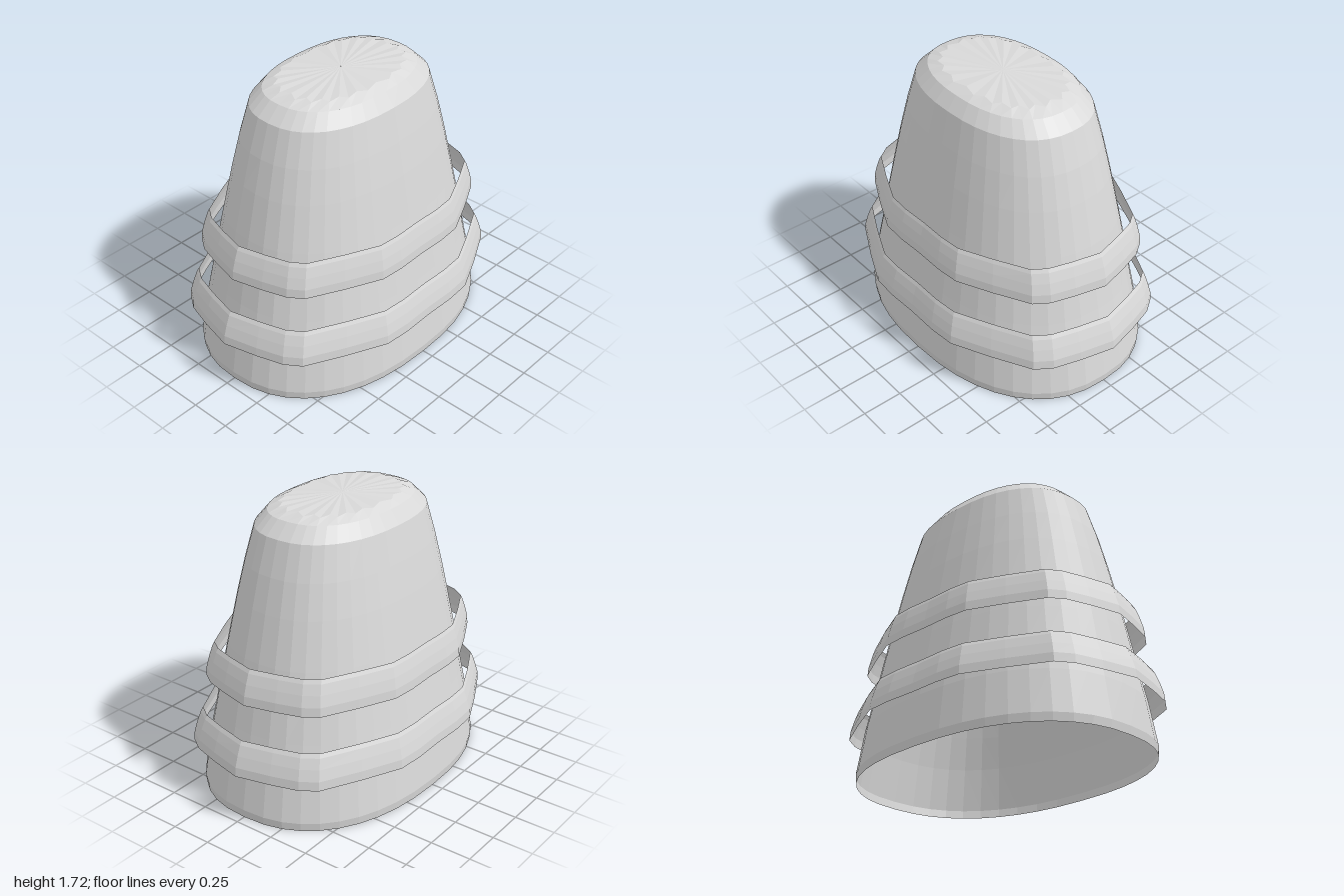
import * as THREE from 'three';

const grey = new THREE.MeshStandardMaterial({ color: 0xd9d9d9, flatShading: true, side: THREE.DoubleSide });
grey.name = 'light grey';

// Joins closed loops of points, listed from bottom to top, into an open skin
function loft(loops) {
  const n = loops[0].length;
  const index = [];
  for (let i = 0; i < loops.length - 1; i++) {
    for (let j = 0; j < n; j++) {
      const a = i * n + j, b = i * n + (j + 1) % n;
      index.push(a, a + n, b, b, a + n, b + n);
    }
  }
  const geometry = new THREE.BufferGeometry();
  geometry.setAttribute('position', new THREE.Float32BufferAttribute(loops.flat(2), 3));
  geometry.setIndex(index);
  const flat = geometry.toNonIndexed();
  flat.computeVertexNormals();
  return flat;
}

// Rounded oval loop; ripple lowers and spreads every other point into a star
function oval([y, rx, rz, ripple = 0], sides = 40, power = 2.35) {
  const bend = (v) => Math.sign(v) * Math.abs(v) ** (2 / power);
  return Array.from({ length: sides }, (_, j) => {
    const t = (j / sides) * Math.PI * 2;
    const drop = j % 2 ? ripple : 0;
    const k = 1 + drop * 15;
    return [rx * k * bend(Math.cos(t)), y - drop, rz * k * bend(Math.sin(t))];
  });
}

// One quarter of the faceted band outline, mirrored into a full loop
const quarter = [[1, 0], [0.95, 0.21], [0.9, 0.375], [0.835, 0.47], [0.6, 0.592], [0.365, 0.7], [0.2, 0.713], [0, 0.708]];
const mirrorX = ([x, z]) => [-x, z];
const half = [...quarter, ...quarter.slice(0, -1).reverse().map(mirrorX)];
const outline = [...half, ...half.slice(1, -1).reverse().map(([x, z]) => [x, -z])];

export function createModel() {
  const model = new THREE.Group();
  model.name = 'bandedCover';

  // Tapered hollow shell, open below, with a star-pleated cap
  const profile = [
    [0, 0.94, 0.68], [0.05, 0.945, 0.685], [0.31, 0.9, 0.65], [0.51, 0.856, 0.612],
    [0.72, 0.813, 0.574], [0.92, 0.77, 0.535], [1.2, 0.703, 0.482], [1.4, 0.65, 0.44],
    [1.6, 0.585, 0.395], [1.68, 0.5, 0.335], [1.71, 0.4, 0.262, 0.006], [1.715, 0.001, 0.001],
  ];
  const shell = new THREE.Mesh(loft(profile.map((p) => oval(p))), grey);
  shell.name = 'shell';
  model.add(shell);

  // Two loose bands standing off the shell: height, then [x, z] scale at bottom and top
  const bands = [
    ['lowerBand', 0.305, [1, 1], [0.935, 0.93]],
    ['upperBand', 0.718, [0.905, 0.893], [0.845, 0.832]],
  ];
  // Height above the band's bottom edge, and share of its taper
  const rise = [[0, 0], [0.055, 0.08], [0.12, 0.4], [0.18, 0.77], [0.204, 1]];
  for (const [name, y, bottom, top] of bands) {
    const loops = rise.map(([h, f]) => {
      const [sx, sz] = bottom.map((s, i) => THREE.MathUtils.lerp(s, top[i], f));
      return outline.map(([x, z]) => [x * sx, y + h, z * sz]);
    });
    const band = new THREE.Mesh(loft(loops), grey);
    band.name = name;
    model.add(band);
  }
  return model;
}
